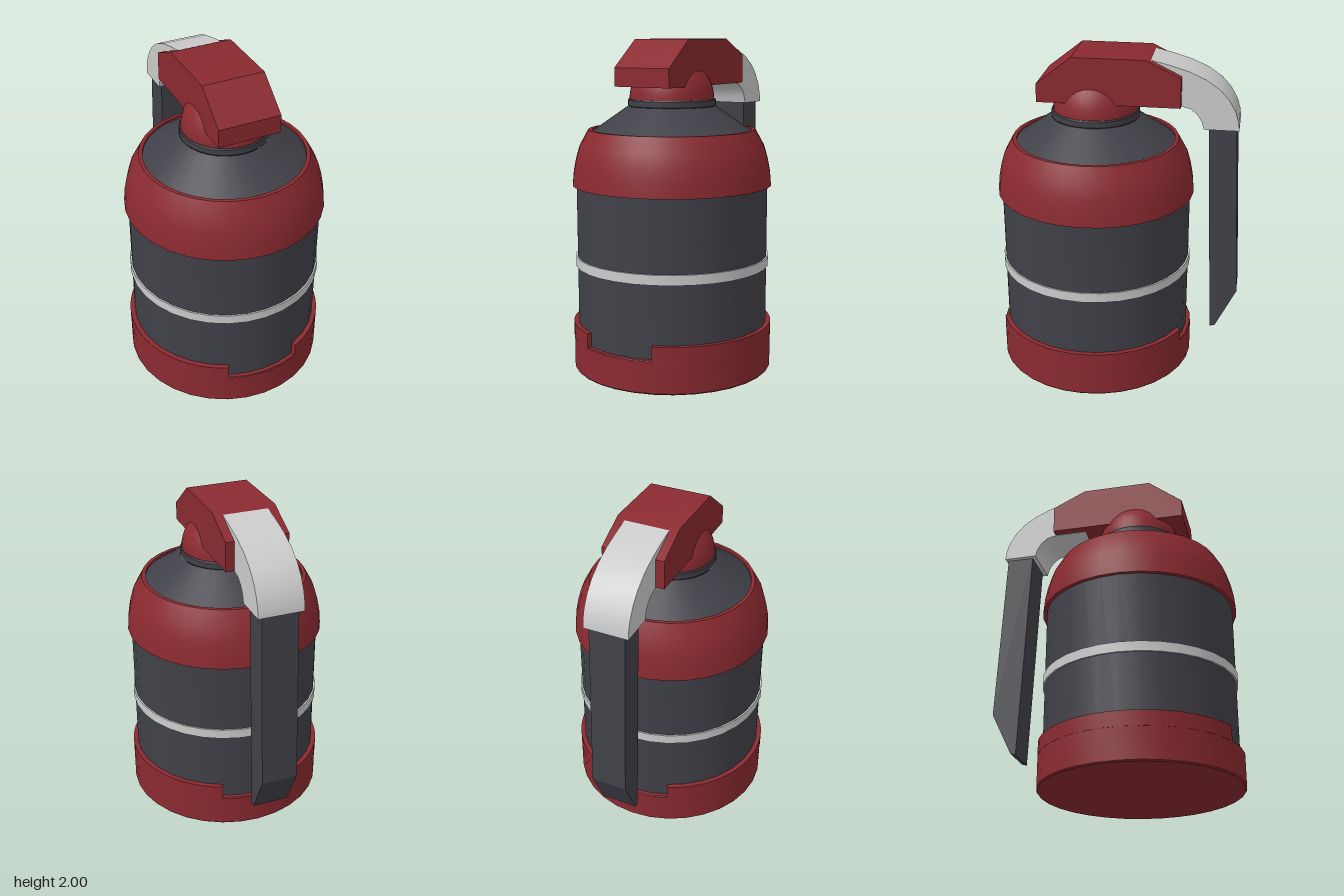
import * as THREE from 'three';
import { toCreasedNormals } from 'three/addons/utils/BufferGeometryUtils.js';

const AXIS_Z = 0.145; // the canister sits forward of the hanging lever
const SIDES = 32;
const red = new THREE.MeshStandardMaterial({ color: 0x8a2a30 });
const dark = new THREE.MeshStandardMaterial({ color: 0x404048 });
const grey = new THREE.MeshStandardMaterial({ color: 0xcccccc });

export function createModel() {
  const group = new THREE.Group();

  function add(name, geometry, material, crease = 0.5) {
    const mesh = new THREE.Mesh(toCreasedNormals(geometry, crease), material);
    mesh.name = name;
    group.add(mesh);
    return mesh;
  }

  // Turned part around the canister axis, profile as [radius, y] going up the outside
  function turned(name, profile, material) {
    const points = profile.map(([r, y]) => new THREE.Vector2(r, y));
    add(name, new THREE.LatheGeometry(points, SIDES), material).position.z = AXIS_Z;
  }

  // Side profile as [z, y], extruded across x
  function slab(name, profile, width, material) {
    const shape = new THREE.Shape(profile.map(([z, y]) => new THREE.Vector2(z, y)));
    const geometry = new THREE.ExtrudeGeometry(shape, { depth: width, bevelEnabled: false });
    geometry.translate(0, 0, -width / 2).rotateY(-Math.PI / 2);
    add(name, geometry, material);
  }

  // Canister
  turned('base', [[0, 0], [0.603, 0], [0.61, 0.008], [0.61, 0.195], [0.605, 0.2], [0.57, 0.2]], red);
  turned('body', [[0, 0.1], [0.582, 0.1], [0.582, 1.2], [0.5, 1.2]], dark);
  turned('band', [[0.57, 0.638], [0.592, 0.638], [0.592, 0.698], [0.57, 0.698]], grey);
  turned('shoulder', [[0.57, 1.13], [0.605, 1.13], [0.598, 1.21], [0.582, 1.29], [0.56, 1.365],
    [0.505, 1.465], [0.482, 1.465], [0.482, 1.42]], red);
  turned('cone', [[0.52, 1.425], [0.265, 1.603]], dark);
  turned('neckRing', [[0.25, 1.59], [0.258, 1.6], [0.265, 1.607], [0.265, 1.64], [0.26, 1.647], [0, 1.647]], dark);

  const dome = new THREE.SphereGeometry(0.255, SIDES, 12, 0, Math.PI * 2, 0, Math.PI / 2);
  add('dome', dome, red).position.set(0, 1.645, AXIS_Z);

  // Raised rim of the base on both sides, leaving a notch at front and back
  const gap = 0.386;
  for (const side of [0, Math.PI]) {
    const start = side - Math.PI / 2 + gap, end = side + Math.PI / 2 - gap;
    const arc = new THREE.Shape();
    arc.absarc(0, 0, 0.61, start, end, false);
    arc.absarc(0, 0, 0.575, end, start, true);
    const geometry = new THREE.ExtrudeGeometry(arc, { depth: 0.09, bevelEnabled: false, curveSegments: 12 });
    geometry.rotateX(-Math.PI / 2);
    add(side ? 'rightBaseRim' : 'leftBaseRim', geometry, red).position.set(0, 0.195, AXIS_Z);
  }

  // Head block, lever hinge and hanging lever
  slab('head', [[0.465, 1.725], [0.465, 1.835], [0.255, 2], [-0.175, 2], [-0.38, 1.9], [-0.38, 1.725]], 0.38, red);
  slab('leverHinge', [[-0.18, 1.722], [-0.18, 1.975], [-0.2, 1.988], [-0.3, 1.965], [-0.42, 1.93], [-0.52, 1.885],
    [-0.6, 1.83], [-0.655, 1.77], [-0.695, 1.7], [-0.715, 1.635], [-0.72, 1.587],
    [-0.515, 1.587], [-0.5, 1.635], [-0.475, 1.675], [-0.435, 1.708], [-0.38, 1.722]], 0.275, grey);
  slab('lever', [[-0.54, 1.62], [-0.705, 1.62], [-0.755, 0.515], [-0.63, 0.26], [-0.598, 0.25]], 0.22, dark);

  return group;
}
